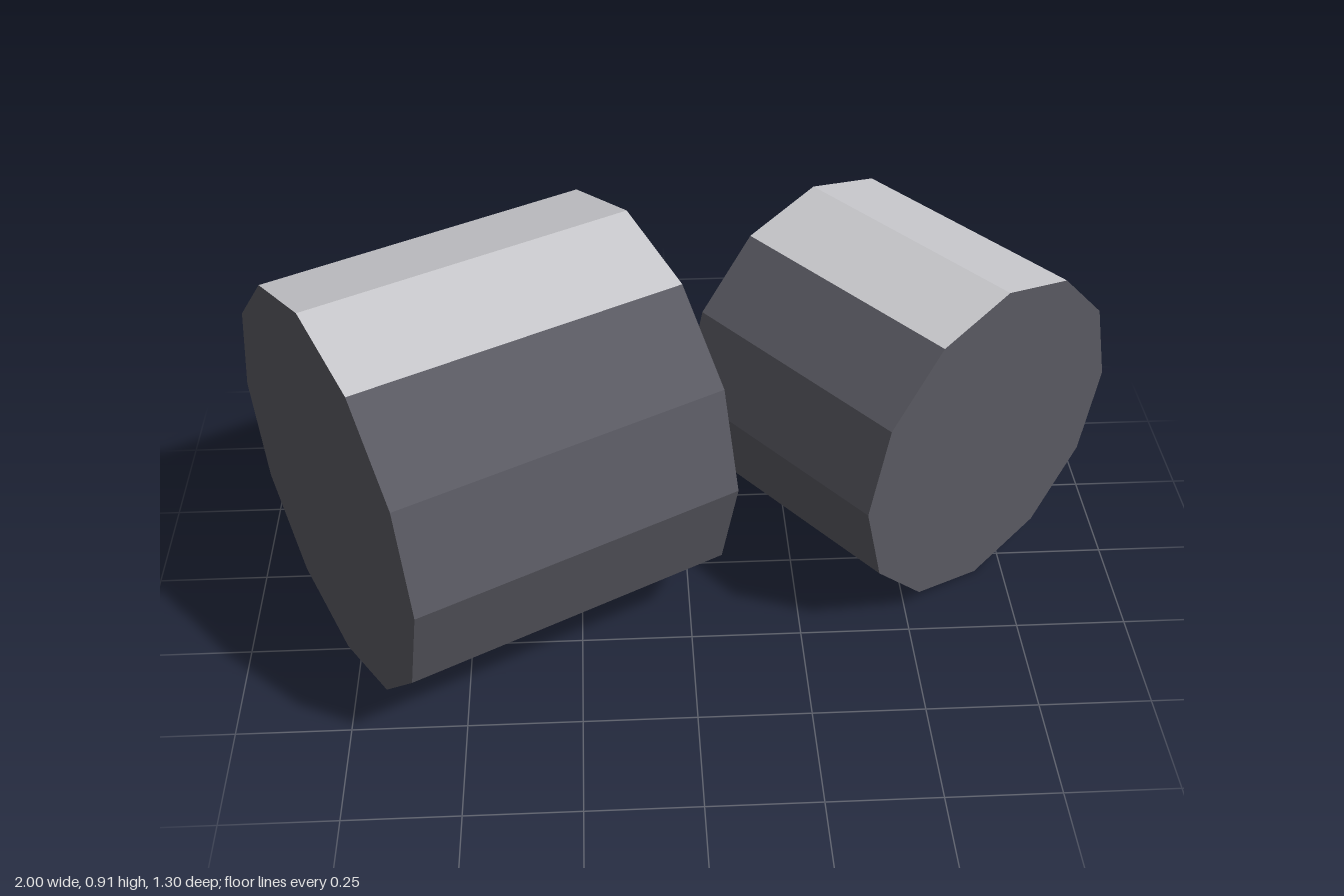
import * as THREE from 'three';

const SIDES = 12;

export function createModel() {
  const dark = new THREE.MeshStandardMaterial({ color: 0x5a5a62 });
  dark.name = 'dark grey';
  const light = new THREE.MeshStandardMaterial({ color: 0xc8c8cc });
  light.name = 'light grey';

  // Faceted drum lying on its side, with an edge at the top and two light facets beside it
  function drum(name, radius, x, z, axisX, axisZ) {
    const length = Math.hypot(axisX, axisZ);
    const indexed = new THREE.CylinderGeometry(radius, radius, length, SIDES);
    indexed.rotateX(-Math.PI / 2); // axis along z, first edge pointing up
    indexed.clearGroups();
    const wall = SIDES * 6;
    indexed.addGroup(0, 6, 1); // top facet
    indexed.addGroup(6, wall - 12, 0); // sides and underside
    indexed.addGroup(wall - 6, 6, 1); // other top facet
    indexed.addGroup(wall, indexed.index.count - wall, 0); // end caps
    const geometry = indexed.toNonIndexed();
    geometry.computeVertexNormals(); // flat facets
    const mesh = new THREE.Mesh(geometry, [dark, light]);
    mesh.name = name;
    mesh.position.set(x, radius, z);
    mesh.rotation.y = Math.atan2(axisX, axisZ);
    return mesh;
  }

  const group = new THREE.Group();
  group.name = 'drums';
  group.add(
    drum('largeDrum', 0.457, -0.453, 0.062, 0.66, -0.361),
    drum('smallDrum', 0.397, 0.5, -0.173, 0.37, 0.467),
  );
  return group;
}
